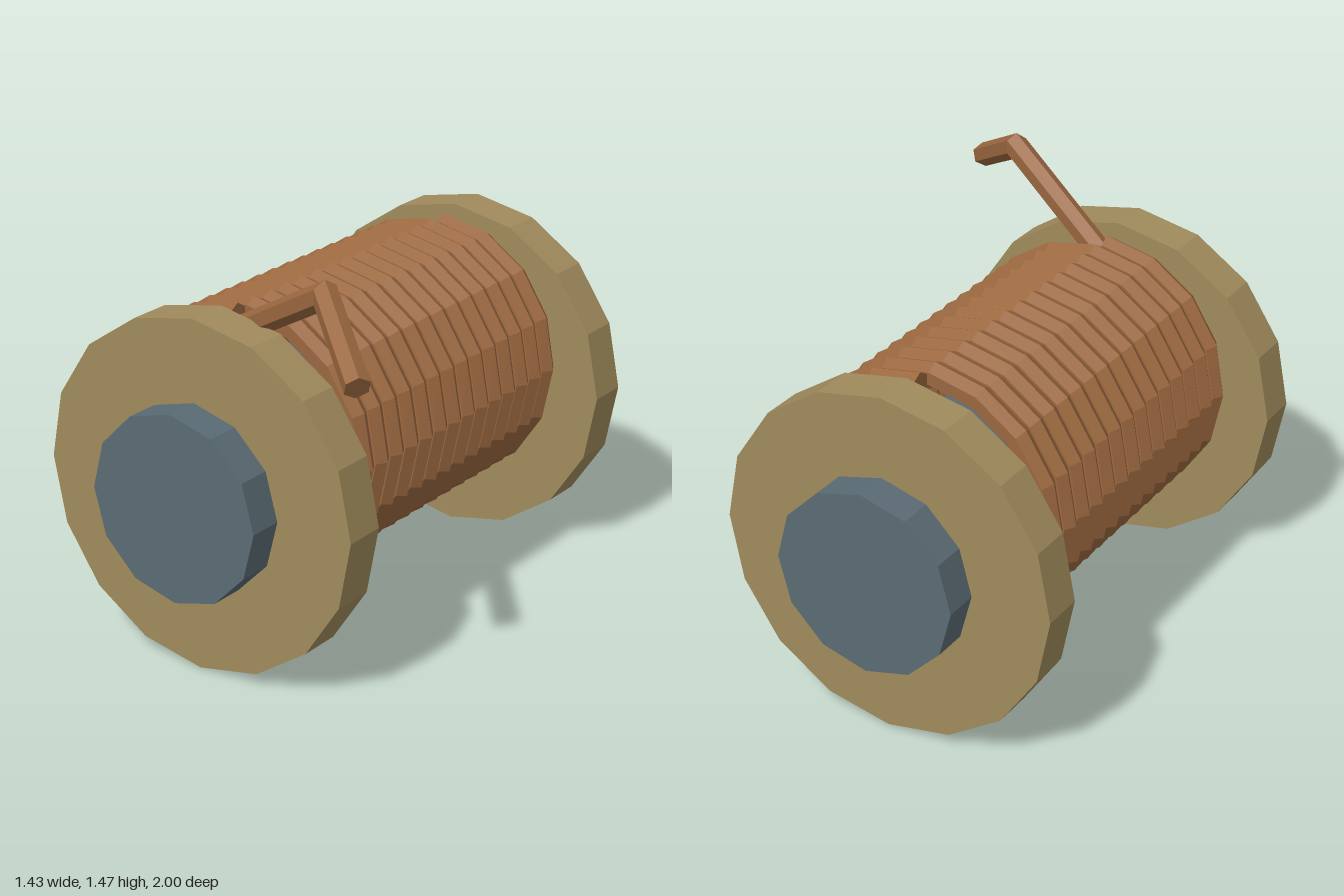
import * as THREE from 'three';

const SIDES = 6;        // wire is hexagonal
const WIRE = 0.045;     // wire radius
const CX = -0.086;      // spool axis
const CY = 0.63;

// Joins six-point rings into a faceted, capped bar
function skin(rings) {
  const pos = [];
  const tri = (a, b, c) => [a, b, c].forEach(v => pos.push(v.x, v.y, v.z));
  const last = rings[rings.length - 1];
  for (let i = 0; i < rings.length - 1; i++) {
    for (let k = 0; k < SIDES; k++) {
      const j = (k + 1) % SIDES;
      tri(rings[i][k], rings[i][j], rings[i + 1][j]);
      tri(rings[i][k], rings[i + 1][j], rings[i + 1][k]);
    }
  }
  for (let k = 1; k < SIDES - 1; k++) {
    tri(rings[0][0], rings[0][k + 1], rings[0][k]);
    tri(last[0], last[k], last[k + 1]);
  }
  const geo = new THREE.BufferGeometry();
  geo.setAttribute('position', new THREE.Float32BufferAttribute(pos, 3));
  geo.computeVertexNormals();
  return geo;
}

// Hexagon around c, first corner towards n
function ring(c, n, b) {
  return Array.from({ length: SIDES }, (_, k) => {
    const a = (k / SIDES) * Math.PI * 2;
    return c.clone().addScaledVector(n, WIRE * Math.cos(a)).addScaledVector(b, WIRE * Math.sin(a));
  });
}

// Slides a ring along d onto the plane through p with normal m
function slide(points, d, p, m) {
  return points.map(v => v.clone().addScaledVector(d, p.clone().sub(v).dot(m) / d.dot(m)));
}

export function createModel() {
  const group = new THREE.Group();
  const mat = (name, color) => {
    const m = new THREE.MeshStandardMaterial({ color, flatShading: true });
    m.name = name;
    return m;
  };
  const steel = mat('blue grey steel', 0x5a6b74);
  const brass = mat('dull brass', 0xa08b5c);
  const copper = mat('copper', 0x9a673f);
  const add = (name, geo, material) => {
    const mesh = new THREE.Mesh(geo, material);
    mesh.name = name;
    group.add(mesh);
  };

  // Core and flanges along z
  const disc = (name, r, sides, z0, z1, material) => {
    const geo = new THREE.CylinderGeometry(r, r, z1 - z0, sides);
    geo.rotateX(Math.PI / 2).translate(CX, CY, (z0 + z1) / 2);
    add(name, geo, material);
  };
  disc('core', 0.337, 12, -1, 0.935, steel);
  disc('frontFlange', 0.63, 16, 0.655, 0.81, brass);
  disc('backFlange', 0.63, 16, -0.876, -0.722, brass);

  // Winding: helix from back to front, sitting slightly above the core axis
  const turns = 14, steps = 16, R = 0.455, zAxis = new THREE.Vector3(0, 0, 1);
  const coil = [];
  for (let i = 0; i <= turns * steps; i++) {
    const t = (i / steps) * Math.PI * 2;
    const n = new THREE.Vector3(Math.sin(t), Math.cos(t), 0);
    const z = -0.645 + 1.215 * i / (turns * steps);
    coil.push(ring(new THREE.Vector3(CX, 0.745, z).addScaledVector(n, R), n, zAxis));
  }
  add('winding', skin(coil), copper);

  // Bent lead wire with a mitred corner
  const p0 = new THREE.Vector3(CX, 1.15, 0.57);
  const p1 = new THREE.Vector3(0.4, 1.42, 0.745);
  const p2 = new THREE.Vector3(0.68, 1.243, 0.965);
  const d1 = p1.clone().sub(p0).normalize();
  const d2 = p2.clone().sub(p1).normalize();
  const up = new THREE.Vector3(0, 1, 0).addScaledVector(d1, -d1.y).normalize();
  const start = ring(p0, up, d1.clone().cross(up));
  const bend = slide(start, d1, p1, d1.clone().add(d2));
  add('leadWire', skin([start, bend, slide(bend, d2, p2, d2)]), copper);

  return group;
}
